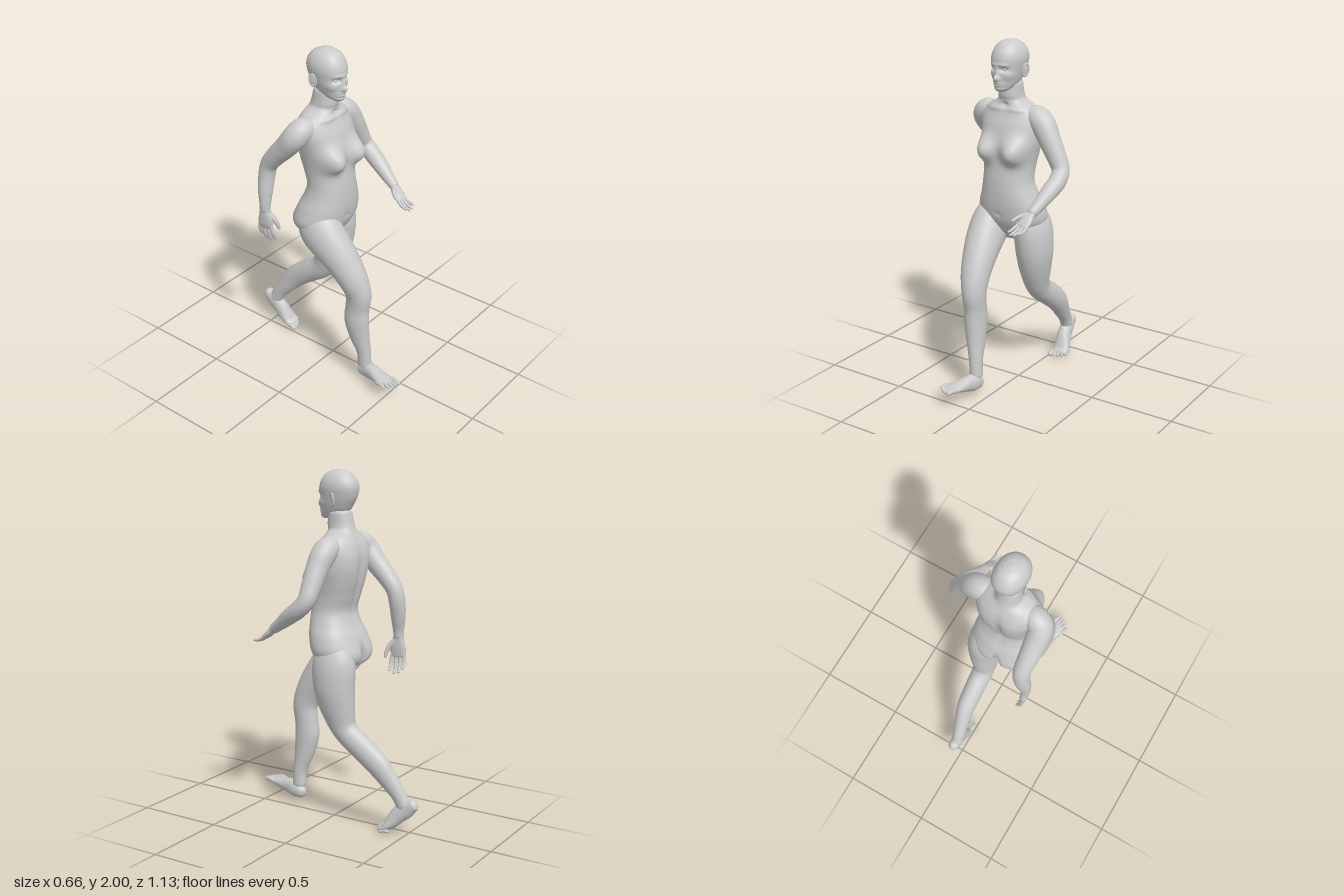
import * as THREE from 'three';

const V = (x, y, z) => new THREE.Vector3(x, y, z);
const skin = new THREE.MeshStandardMaterial({ color: 0xcccccc });
const X = V(1, 0, 0), Z = V(0, 0, 1);

function addMesh(parent, name, geo) {
  const mesh = new THREE.Mesh(geo, skin);
  mesh.name = name;
  parent.add(mesh);
  return mesh;
}

// Smooth skin over sections [x, y, z, radiusU, radiusV]; rings are square to the
// path (or level when flat) and both ends close with a dome.
function loft(sections, { ref = X, flat = false, rows = 48, sides = 32, power = 2, dome = 1 } = {}) {
  const path = new THREE.CatmullRomCurve3(sections.map(s => V(s[0], s[1], s[2])));
  const radii = new THREE.CatmullRomCurve3(sections.map(s => V(s[3], s[4] ?? s[3], 0)), false, 'catmullrom', 0.5);
  const rings = [];
  const ring = (t, shift, shrink) => {
    const T = flat ? V(0, 1, 0) : path.getTangent(t);
    const r = radii.getPoint(t);
    const c = path.getPoint(t).addScaledVector(T, shift * dome * Math.min(r.x, r.y));
    const U = ref.clone().addScaledVector(T, -ref.dot(T)).normalize();
    rings.push({ c, U, W: T.clone().cross(U), ru: r.x * shrink, rv: r.y * shrink });
  };
  const caps = 6;
  for (let k = caps; k > 0; k--) ring(0, -Math.sin(k / caps * Math.PI / 2), Math.cos(k / caps * Math.PI / 2));
  for (let i = 0; i <= rows; i++) ring(i / rows, 0, 1);
  for (let k = 1; k <= caps; k++) ring(1, Math.sin(k / caps * Math.PI / 2), Math.cos(k / caps * Math.PI / 2));

  const pos = [], index = [];
  const round = v => Math.sign(v) * Math.abs(v) ** (2 / power);
  rings.forEach(({ c, U, W, ru, rv }, i) => {
    for (let j = 0; j < sides; j++) {
      const a = j / sides * Math.PI * 2;
      const p = c.clone().addScaledVector(U, ru * round(Math.cos(a))).addScaledVector(W, rv * round(Math.sin(a)));
      pos.push(p.x, p.y, p.z);
      if (i === rings.length - 1) continue;
      const k = (j + 1) % sides, A = i * sides, B = A + sides;
      index.push(A + j, A + k, B + j, A + k, B + k, B + j);
    }
  });
  const geo = new THREE.BufferGeometry();
  geo.setAttribute('position', new THREE.Float32BufferAttribute(pos, 3));
  geo.setIndex(index);
  geo.computeVertexNormals();
  return geo;
}

// Level sections given as [y, xMin, xMax, zBack, zFront]
const level = rows => rows.map(([y, x0, x1, z0, z1]) => [(x0 + x1) / 2, y, (z0 + z1) / 2, (x1 - x0) / 2, (z1 - z0) / 2]);

// Soft swellings and hollows: [centre, reach, push]
function sculpt(geo, bumps) {
  const p = geo.attributes.position, v = V(0, 0, 0);
  for (let i = 0; i < p.count; i++) {
    v.fromBufferAttribute(p, i);
    const move = V(0, 0, 0);
    for (const [c, r, d] of bumps) {
      const q = ((v.x - c[0]) / r[0]) ** 2 + ((v.y - c[1]) / r[1]) ** 2 + ((v.z - c[2]) / r[2]) ** 2;
      move.addScaledVector(V(...d), Math.exp(-(q ** 1.25)));
    }
    v.add(move);
    p.setXYZ(i, v.x, v.y, v.z);
  }
  geo.computeVertexNormals();
  return geo;
}

function makeTorso(parent) {
  const geo = loft(level([
    [0.90, -0.13, 0.04, -0.12, 0.06], [0.94, -0.215, 0.125, -0.155, 0.10], [1.00, -0.25, 0.158, -0.165, 0.13],
    [1.08, -0.235, 0.148, -0.142, 0.145], [1.15, -0.21, 0.122, -0.108, 0.148], [1.22, -0.195, 0.10, -0.09, 0.146],
    [1.30, -0.195, 0.10, -0.112, 0.138], [1.38, -0.205, 0.112, -0.135, 0.13], [1.46, -0.22, 0.128, -0.145, 0.125],
    [1.54, -0.235, 0.13, -0.145, 0.105], [1.60, -0.225, 0.115, -0.13, 0.08], [1.64, -0.185, 0.075, -0.11, 0.063],
    [1.67, -0.13, 0.025, -0.096, 0.058], [1.70, -0.12, 0.014, -0.086, 0.064], [1.76, -0.115, 0.01, -0.072, 0.06],
  ]), { flat: true, rows: 120, sides: 96, power: 2.2, dome: 0.5 });
  const mid = -0.05, bumps = [
    [[mid, 1.36, -0.14], [0.025, 0.2, 0.06], [0, 0, 0.016]],    // spine furrow
    [[mid, 0.95, -0.17], [0.022, 0.07, 0.07], [0, 0, 0.045]],   // cleft
    [[mid, 1.04, 0.14], [0.012, 0.012, 0.05], [0, 0, -0.008]],  // navel
    [[mid, 1.645, 0.06], [0.02, 0.015, 0.04], [0, 0, -0.01]],   // throat hollow
  ];
  for (const s of [-1, 1]) bumps.push(
    [[mid + s * 0.098, 1.405, 0.12], [0.07, 0.068, 0.1], [s * 0.006, -0.01, 0.068]],  // breast
    [[mid + s * 0.095, 0.95, -0.15], [0.085, 0.07, 0.08], [0, 0, -0.014]],            // buttock
    [[mid + s * 0.09, 1.49, -0.14], [0.055, 0.09, 0.06], [0, 0, -0.008]],             // shoulder blade
    [[mid + s * 0.07, 1.625, 0.06], [0.06, 0.014, 0.05], [0, 0.002, 0.008]],          // collar bone
  );
  addMesh(parent, 'torso', sculpt(geo, bumps));
}

function makeHead(parent) {
  const head = new THREE.Group();
  head.name = 'head';
  const geo = loft(level([
    [1.728, -0.026, 0.026, 0.055, 0.10], [1.742, -0.044, 0.044, 0.01, 0.112], [1.77, -0.061, 0.061, -0.055, 0.117],
    [1.81, -0.074, 0.074, -0.085, 0.118], [1.85, -0.083, 0.083, -0.106, 0.12], [1.90, -0.09, 0.09, -0.116, 0.119],
    [1.94, -0.083, 0.083, -0.106, 0.106], [1.975, -0.062, 0.062, -0.078, 0.079], [1.993, -0.035, 0.035, -0.042, 0.044],
    [1.999, -0.008, 0.008, -0.01, 0.01],
  ]), { flat: true, rows: 110, sides: 112, power: 2.15, dome: 0.15 });
  const bumps = [
    [[0, 1.80, 0.12], [0.018, 0.018, 0.05], [0, 0, 0.022]],        // nose tip
    [[0, 1.832, 0.12], [0.012, 0.03, 0.05], [0, 0, 0.011]],        // nose bridge
    [[0, 1.768, 0.118], [0.028, 0.014, 0.05], [0, 0, 0.01]],       // lips
    [[0, 1.768, 0.122], [0.026, 0.0035, 0.05], [0, 0, -0.006]],    // mouth line
    [[0, 1.738, 0.11], [0.03, 0.014, 0.05], [0, 0, 0.009]],        // chin
  ];
  for (const s of [-1, 1]) bumps.push(
    [[s * 0.034, 1.85, 0.11], [0.022, 0.014, 0.06], [0, 0, -0.016]],     // eye socket
    [[s * 0.033, 1.874, 0.115], [0.03, 0.01, 0.05], [0, 0, 0.005]],      // brow
    [[s * 0.055, 1.815, 0.085], [0.025, 0.022, 0.04], [s * 0.005, 0, 0.004]],  // cheek bone
  );
  addMesh(head, 'face', sculpt(geo, bumps));
  for (const s of [-1, 1]) {
    const side = s > 0 ? 'left' : 'right';
    addMesh(head, side + 'Eye', new THREE.SphereGeometry(0.013, 20, 14)).position.set(s * 0.033, 1.85, 0.089);
    const ear = new THREE.Group();
    ear.name = side + 'Ear';
    ear.position.set(s * 0.091, 1.838, -0.015);
    ear.rotation.set(-0.15, s * -0.45, s * -0.15);
    addMesh(ear, 'earRim', new THREE.TorusGeometry(0.021, 0.006, 10, 28).rotateY(Math.PI / 2)).scale.set(1, 1.5, 0.85);
    addMesh(ear, 'earBowl', new THREE.SphereGeometry(0.02, 20, 14)).scale.set(0.35, 1.45, 0.85);
    head.add(ear);
  }
  head.rotation.y = -0.07;
  head.position.x = -0.053;
  parent.add(head);
}

// Palm, four fingers and a thumb; across points to the thumb side
function makeHand(parent, name, wrist, dir, across, curl, size) {
  const hand = new THREE.Group();
  hand.name = name;
  dir.normalize();
  across.addScaledVector(dir, -across.dot(dir)).normalize();
  const N = dir.clone().cross(across).multiplyScalar(curl);
  const at = (d, a, n, ...r) => [
    ...wrist.clone().addScaledVector(dir, d * size).addScaledVector(across, a * size).addScaledVector(N, n * size).toArray(),
    ...r.map(v => v * size)];
  addMesh(hand, 'palm', loft([
    at(-0.03, 0, 0, 0.03, 0.028), at(0.01, 0, 0, 0.031, 0.024), at(0.05, 0.003, 0, 0.043, 0.022),
    at(0.09, 0, 0, 0.045, 0.018), at(0.112, 0, 0.002, 0.041, 0.013),
  ], { ref: across, rows: 24, sides: 28, power: 2.3, dome: 0.8 }));
  [0.085, 0.1, 0.092, 0.07].forEach((len, i) => {
    const a = 0.033 - i * 0.022, b = a * 1.2;
    addMesh(hand, 'finger', loft([
      at(0.10, a, 0, 0.0115), at(0.11 + len * 0.4, b, 0.006, 0.0105),
      at(0.11 + len * 0.75, b, 0.017, 0.0095), at(0.11 + len * 0.97, b, 0.03, 0.0075),
    ], { ref: across, rows: 14, sides: 12 }));
  });
  addMesh(hand, 'thumb', loft([
    at(0.025, 0.02, 0.005, 0.018), at(0.06, 0.048, 0.014, 0.015), at(0.09, 0.062, 0.022, 0.012), at(0.115, 0.067, 0.028, 0.009),
  ], { ref: across, rows: 14, sides: 14 }));
  parent.add(hand);
}

function makeArms(parent) {
  const opts = { ref: Z, rows: 60 };
  addMesh(parent, 'leftArm', loft([
    [0.04, 1.58, -0.03, 0.05], [0.10, 1.58, -0.025, 0.068], [0.145, 1.548, -0.02, 0.07], [0.19, 1.48, -0.01, 0.063],
    [0.24, 1.39, -0.005, 0.055], [0.277, 1.315, 0.005, 0.049], [0.283, 1.265, 0.05, 0.049], [0.273, 1.22, 0.115, 0.046],
    [0.257, 1.165, 0.19, 0.035], [0.247, 1.135, 0.235, 0.029]], opts));
  addMesh(parent, 'rightArm', loft([
    [-0.16, 1.58, -0.02, 0.05], [-0.22, 1.58, -0.03, 0.066], [-0.257, 1.545, -0.05, 0.068], [-0.263, 1.47, -0.11, 0.062],
    [-0.262, 1.39, -0.185, 0.055], [-0.26, 1.32, -0.238, 0.049], [-0.265, 1.25, -0.253, 0.047], [-0.28, 1.16, -0.253, 0.042],
    [-0.29, 1.09, -0.25, 0.033], [-0.292, 1.05, -0.25, 0.029]], opts));
  makeHand(parent, 'leftHand', V(0.246, 1.133, 0.24), V(-0.03, -0.1, 0.115), V(-1, -0.1, 0.1), -1, 0.84);
  makeHand(parent, 'rightHand', V(-0.292, 1.045, -0.25), V(0.01, -1, 0), V(0.15, 0, 1), -1, 1.02);
}

function makeLegs(parent) {
  const opts = { rows: 72, sides: 48, dome: 0.5 };
  addMesh(parent, 'leftLeg', loft([
    [0.05, 1.04, -0.02, 0.08, 0.1], [0.07, 0.93, -0.04, 0.102, 0.128], [0.077, 0.8, -0.048, 0.102, 0.122],
    [0.071, 0.68, -0.068, 0.087, 0.104], [0.063, 0.575, -0.1, 0.068, 0.078], [0.06, 0.525, -0.14, 0.062, 0.071],
    [0.061, 0.475, -0.21, 0.06, 0.071], [0.06, 0.385, -0.325, 0.055, 0.068], [0.05, 0.3, -0.395, 0.045, 0.055],
    [0.042, 0.23, -0.448, 0.038, 0.044], [0.038, 0.17, -0.48, 0.036, 0.042]], opts));
  addMesh(parent, 'rightLeg', loft([
    [-0.145, 1.03, -0.03, 0.085, 0.11], [-0.155, 0.955, 0.035, 0.105, 0.13], [-0.151, 0.875, 0.115, 0.104, 0.116],
    [-0.14, 0.785, 0.19, 0.094, 0.098], [-0.128, 0.69, 0.248, 0.081, 0.085], [-0.117, 0.6, 0.276, 0.067, 0.076],
    [-0.115, 0.51, 0.268, 0.061, 0.072], [-0.115, 0.42, 0.264, 0.061, 0.076], [-0.106, 0.31, 0.278, 0.051, 0.062],
    [-0.093, 0.2, 0.301, 0.039, 0.043], [-0.088, 0.11, 0.305, 0.036, 0.042]], opts));
}

// Foot body along its sections, with five toes from the ball to their tips
function makeFoot(parent, name, sections, ball, tip, outward) {
  const foot = new THREE.Group();
  foot.name = name;
  addMesh(foot, 'footBody', loft(sections, { rows: 36, sides: 32, power: 2.2 }));
  for (let i = 0; i < 5; i++) {
    const s = outward * (i * 0.0195 + (i ? 0.005 : 0)), r = i ? 0.0095 : 0.014, back = i * i * 0.0022 + i * 0.003;
    const a = V(ball[0] + s * 0.92, ball[1], ball[2] - back), b = V(tip[0] + s, tip[1], tip[2] - back - r);
    const m = a.clone().lerp(b, 0.5).add(V(0, 0.004, 0));
    addMesh(foot, 'toe', loft([[...a, r], [...m, r], [...b, r * 0.95]], { rows: 12, sides: 14 }));
  }
  parent.add(foot);
}

export function createModel() {
  const figure = new THREE.Group();
  figure.name = 'walkingFigure';
  makeTorso(figure);
  makeHead(figure);
  makeArms(figure);
  makeLegs(figure);
  makeFoot(figure, 'leftFoot', [
    [0.035, 0.178, -0.535, 0.031, 0.036], [0.036, 0.152, -0.498, 0.036, 0.05], [0.042, 0.11, -0.45, 0.04, 0.047],
    [0.049, 0.066, -0.415, 0.046, 0.037], [0.055, 0.035, -0.385, 0.05, 0.024], [0.057, 0.022, -0.362, 0.047, 0.017],
  ], [0.018, 0.02, -0.365], [0.017, 0.014, -0.31], 1);
  makeFoot(figure, 'rightFoot', [
    [-0.085, 0.062, 0.292, 0.032, 0.037], [-0.088, 0.073, 0.33, 0.037, 0.05], [-0.098, 0.08, 0.375, 0.039, 0.045],
    [-0.112, 0.083, 0.43, 0.045, 0.032], [-0.126, 0.087, 0.48, 0.049, 0.02], [-0.131, 0.089, 0.502, 0.046, 0.015],
  ], [-0.092, 0.088, 0.5], [-0.1, 0.094, 0.566], -1);
  return figure;
}
